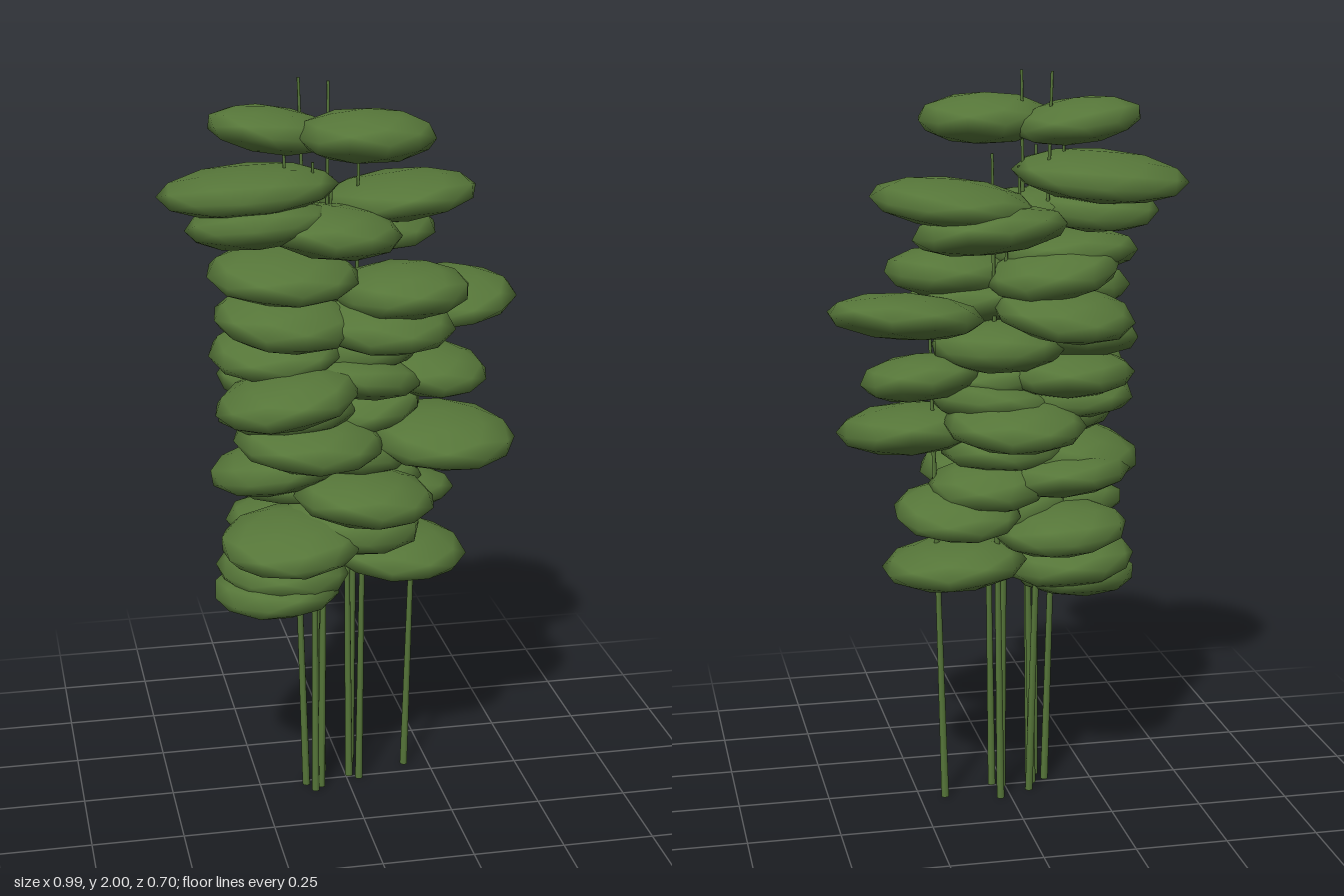
import * as THREE from 'three';

export function createModel() {
  const group = new THREE.Group();
  group.name = 'caneClump';
  const green = new THREE.MeshStandardMaterial({ color: 0x567639 });
  green.name = 'leafGreen';

  // small seeded generator for tilts and turns
  let seed = 11;
  const rnd = () => {
    seed = (seed * 16807) % 2147483647;
    return seed / 2147483647;
  };

  // thin tapering canes: base x, z, then tip x, y, z
  const canes = [
    [-0.12, 0.02, -0.17, 1.82, 0.03],
    [-0.10, 0.06, -0.10, 1.80, 0.06],
    [-0.08, 0.04, -0.05, 2.00, 0.015],
    [-0.08, 0.00, -0.04, 1.75, 0.00],
    [-0.06, -0.05, -0.115, 2.00, -0.06],
    [0.01, -0.01, 0.00, 1.60, -0.03],
    [0.03, -0.09, 0.045, 1.79, -0.06],
    [0.035, 0.01, 0.05, 1.50, 0.02],
    [0.18, -0.05, 0.21, 1.36, -0.03],
  ];
  const up = new THREE.Vector3(0, 1, 0);
  for (const [bx, bz, tx, ty, tz] of canes) {
    const base = new THREE.Vector3(bx, 0, bz);
    const tip = new THREE.Vector3(tx, ty, tz);
    const dir = tip.clone().sub(base);
    const cane = new THREE.Mesh(new THREE.CylinderGeometry(0.004, 0.011, dir.length(), 7), green);
    cane.name = 'cane';
    cane.position.copy(base).add(tip).multiplyScalar(0.5);
    cane.quaternion.setFromUnitVectors(up, dir.normalize());
    group.add(cane);
  }

  // flattened leaf clusters: x, y, z, radius
  const clusters = [
    [-0.19, 1.87, -0.04, 0.17], [0.035, 1.87, 0.09, 0.18],
    [-0.26, 1.72, -0.01, 0.235], [0.16, 1.67, -0.11, 0.215],
    [-0.24, 1.64, 0.04, 0.19], [-0.05, 1.62, 0.07, 0.18],
    [0.07, 1.6, -0.15, 0.205], [-0.18, 1.51, 0.06, 0.2],
    [0.13, 1.46, 0.09, 0.18], [-0.12, 1.47, -0.05, 0.18],
    [0.07, 1.38, 0.09, 0.2], [0.29, 1.38, -0.13, 0.205],
    [-0.18, 1.4, 0.1, 0.19], [-0.14, 1.37, -0.1, 0.19],
    [-0.19, 1.29, 0.0, 0.18], [0.03, 1.28, -0.06, 0.18],
    [-0.19, 1.2, 0.16, 0.19], [0.24, 1.2, -0.05, 0.16],
    [0.02, 1.21, 0.02, 0.18], [-0.16, 1.2, -0.06, 0.18],
    [-0.17, 1.13, 0.02, 0.19], [0.04, 1.12, -0.04, 0.17],
    [0.25, 1.04, 0.05, 0.2], [-0.12, 1.06, 0.09, 0.2],
    [0.0, 1.08, -0.13, 0.19], [-0.19, 0.97, 0.02, 0.19],
    [0.0, 1.0, 0.0, 0.18], [0.02, 0.91, 0.14, 0.19],
    [-0.15, 0.92, -0.06, 0.18], [0.06, 0.9, -0.07, 0.16],
    [0.15, 0.84, -0.1, 0.17], [-0.18, 0.8, 0.15, 0.19],
    [0.0, 0.81, 0.06, 0.19], [-0.14, 0.77, -0.08, 0.18],
    [0.15, 0.68, -0.05, 0.195], [-0.2, 0.62, 0.03, 0.175],
    [-0.18, 0.66, 0.0, 0.18],
  ];
  const leafGeometry = new THREE.IcosahedronGeometry(1, 1);
  for (const [x, y, z, r] of clusters) {
    const leaf = new THREE.Mesh(leafGeometry, green);
    leaf.name = 'leafCluster';
    leaf.position.set(x, y, z);
    leaf.scale.set(r * 1.02, 0.06 + rnd() * 0.01, r * 1.02);
    // tilt about x and z after the turn about y
    leaf.rotation.set((rnd() - 0.5) * 0.3, rnd() * 6.28, (rnd() - 0.5) * 0.3, 'XZY');
    group.add(leaf);
  }
  return group;
}
